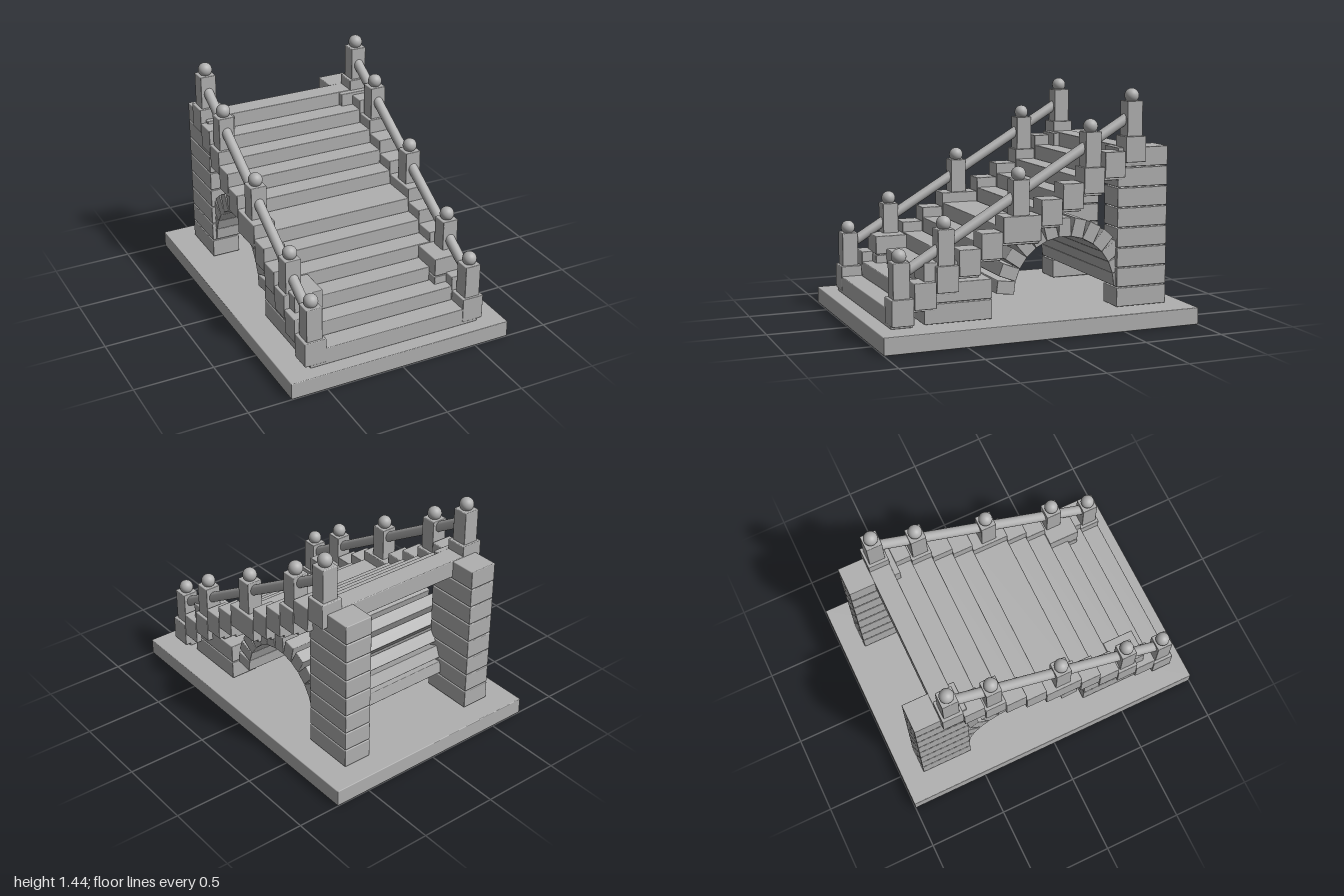
import * as THREE from 'three';
import { RoundedBoxGeometry } from 'three/addons/geometries/RoundedBoxGeometry.js';

const stone = new THREE.MeshStandardMaterial({ color: 0xb0b0b0 });
stone.name = 'grey stone';

function add(parent, name, geometry, x, y, z) {
  const mesh = new THREE.Mesh(geometry, stone);
  mesh.name = name;
  mesh.position.set(x, y, z);
  parent.add(mesh);
  return mesh;
}

// Slightly bevelled block given by its extents
function block(parent, name, x0, x1, y0, y1, z0, z1) {
  const geometry = new RoundedBoxGeometry(x1 - x0, y1 - y0, z1 - z0, 1, 0.005);
  return add(parent, name, geometry, (x0 + x1) / 2, (y0 + y1) / 2, (z0 + z1) / 2);
}

export function createModel() {
  const model = new THREE.Group();
  model.name = 'stoneStaircase';

  block(model, 'basePlate', -0.73, 0.73, 0, 0.105, -1, 1);

  // Treads with a raised curb block at each end; the sixth is a wider landing
  const rise = 0.0875;
  const curbTop = (i) => 0.28 + i * rise;
  let front = 0.912;
  for (let i = 0; i < 11; i++) {
    const back = front - (i === 5 ? 0.242 : 0.1365);
    const treadTop = curbTop(i) - 0.065;
    block(model, 'step', -0.565, 0.565, treadTop - 0.11, treadTop, back + 0.001, front - 0.004);
    for (const s of [-1, 1]) {
      const x = s * 0.53;
      block(model, 'curbBlock', x - 0.07, x + 0.07, curbTop(i) - 0.157, curbTop(i), back + 0.001, front - 0.001);
    }
    front = back;
  }

  // Piers of stacked courses
  const course = 0.1223;
  for (const s of [-1, 1]) {
    const x = s * 0.472;
    for (let i = 0; i < 8; i++) {
      const y = 0.113 + i * course;
      block(model, 'rearPierStone', x - 0.092, x + 0.092, y, y + 0.117, -0.86, -0.525);
      if (i < 3) block(model, 'frontPierStone', x - 0.092, x + 0.092, y, y + 0.117, i < 2 ? 0.285 : 0.5, 0.705);
    }
  }

  // Barrel vault of long stones
  const vault = new THREE.Group();
  vault.name = 'vault';
  vault.position.set(0, 0.24, -0.19);
  model.add(vault);
  const count = 13;
  for (let i = 0; i < count; i++) {
    const a = ((i + 0.5) / count) * Math.PI;
    const arc = add(vault, 'vaultStone', new RoundedBoxGeometry(1.08, 0.08, 0.115, 1, 0.005),
      0, 0.382 * Math.sin(a), 0.382 * Math.cos(a));
    arc.rotation.x = -a;
  }

  // Posts with ball caps, joined by a sloping handrail
  const posts = [[0, 0.845], [2, 0.573], [5, 0.108], [8, -0.355], [10, -0.627]];
  const railStart = new THREE.Vector3(0, 0.405, 0.845);
  const railEnd = new THREE.Vector3(0, 1.28, -0.627);
  const direction = railEnd.clone().sub(railStart);
  for (const s of [-1, 1]) {
    const railing = new THREE.Group();
    railing.name = s > 0 ? 'leftRailing' : 'rightRailing';
    railing.position.x = s * 0.53;
    model.add(railing);
    for (const [step, z] of posts) {
      const y = curbTop(step);
      block(railing, 'post', -0.051, 0.051, y - 0.01, y + 0.21, z - 0.051, z + 0.051);
      add(railing, 'ballCap', new THREE.SphereGeometry(0.044, 24, 16), 0, y + 0.24, z);
    }
    const middle = railStart.clone().add(railEnd).multiplyScalar(0.5);
    const rail = add(railing, 'handrail', new THREE.CylinderGeometry(0.032, 0.032, direction.length(), 24),
      0, middle.y, middle.z);
    rail.quaternion.setFromUnitVectors(new THREE.Vector3(0, 1, 0), direction.clone().normalize());
  }

  return model;
}
